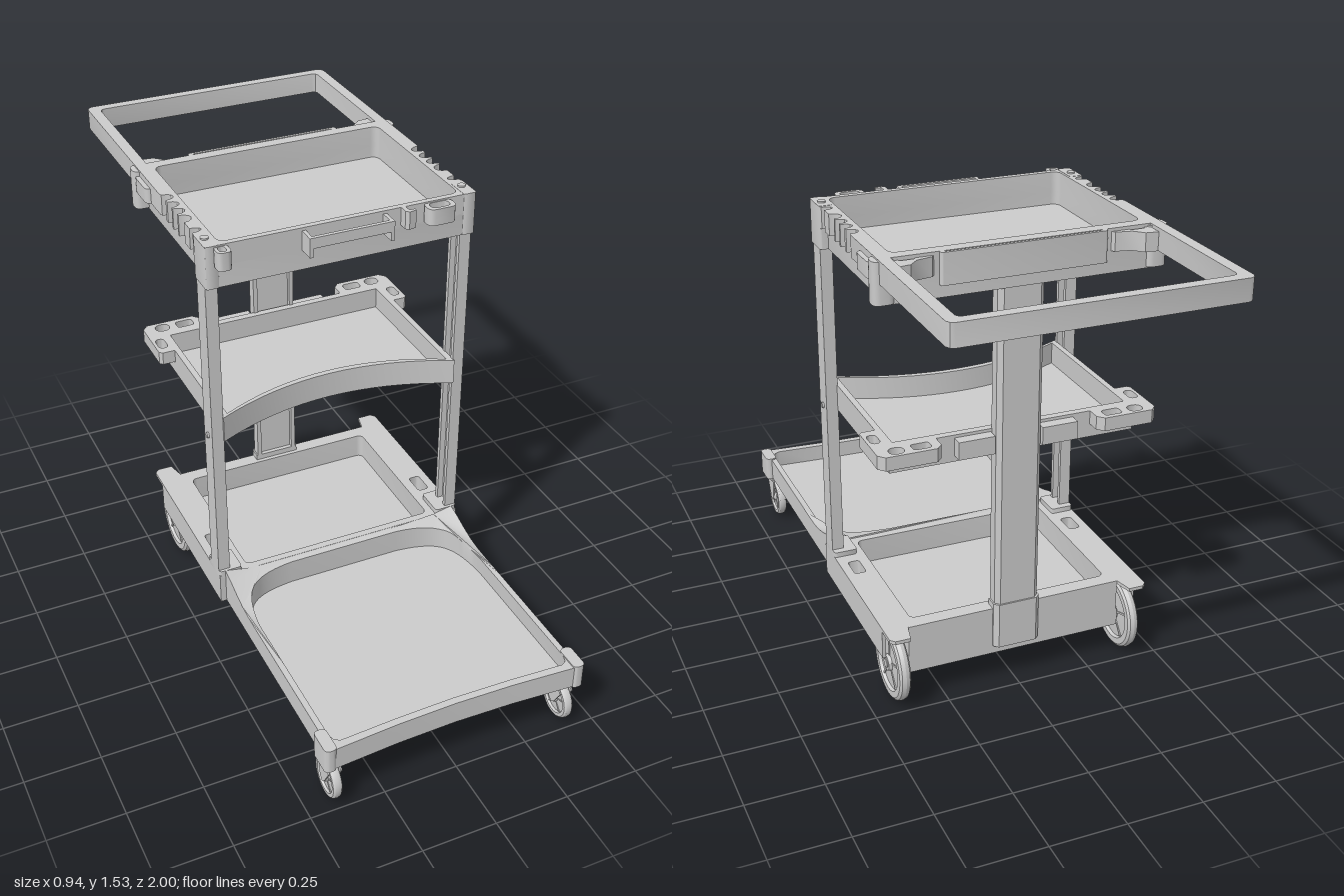
import * as THREE from 'three';
import { toCreasedNormals } from 'three/addons/utils/BufferGeometryUtils.js';

const mat = new THREE.MeshStandardMaterial({ color: 0xcccccc, side: THREE.DoubleSide });

function add(parent, name, geo, x = 0, y = 0, z = 0) {
  const m = new THREE.Mesh(geo, mat);
  m.name = name;
  m.position.set(x, y, z);
  parent.add(m);
  return m;
}

// Box given by its limits
function block(parent, name, x0, x1, y0, y1, z0, z1) {
  const g = new THREE.BoxGeometry(x1 - x0, y1 - y0, z1 - z0);
  return add(parent, name, g, (x0 + x1) / 2, (y0 + y1) / 2, (z0 + z1) / 2);
}

// Rounded rectangle in plan, as [x, z] points
function rect(x0, x1, z0, z1, r = 0.02, n = 4) {
  const pts = [];
  const corners = [[x1 - r, z1 - r], [x0 + r, z1 - r], [x0 + r, z0 + r], [x1 - r, z0 + r]];
  corners.forEach(([cx, cz], k) => {
    for (let i = 0; i <= n; i++) {
      const a = (k + i / n) * Math.PI / 2;
      pts.push([cx + r * Math.cos(a), cz + r * Math.sin(a)]);
    }
  });
  return pts;
}

// Plan outline with holes, raised from y0 to y1; lift(x, z) moves the top
function slab(parent, name, outer, holes, y0, y1, lift) {
  const vec = (pts) => pts.map(([x, z]) => new THREE.Vector2(x, -z));
  const s = new THREE.Shape(vec(outer));
  holes.forEach((h) => s.holes.push(new THREE.Path(vec(h))));
  const g = new THREE.ExtrudeGeometry(s, { depth: y1 - y0, bevelEnabled: false });
  g.rotateX(-Math.PI / 2).translate(0, y0, 0);
  if (lift) {
    const p = g.attributes.position;
    for (let i = 0; i < p.count; i++) {
      if (p.getY(i) > (y0 + y1) / 2) p.setY(i, p.getY(i) + lift(p.getX(i), p.getZ(i)));
    }
  }
  return add(parent, name, toCreasedNormals(g, 0.6));
}

// Completes a half outline (x >= 0) with its mirror image
const mirror = (half) => [...half, ...half.slice().reverse().map(([x, z]) => [-x, z])];
const flip = (pts, s) => pts.map(([x, z]) => [s * x, z]);

function wheel(parent, name, r, w, x, y, z) {
  const g = new THREE.Group();
  g.name = name;
  g.position.set(x, y, z);
  const profile = [[0.01, -0.5], [0.2, -0.5], [0.22, -0.25], [0.7, -0.2], [0.74, -0.42], [0.9, -0.42], [0.97, -0.28], [1, 0]];
  const pts = [...profile, ...profile.slice(0, -1).reverse().map(([a, b]) => [a, -b])]
    .map(([a, b]) => new THREE.Vector2(a * r, b * w));
  add(g, 'tyreAndDisc', toCreasedNormals(new THREE.LatheGeometry(pts, 40).rotateZ(Math.PI / 2), 0.5));
  add(g, 'axle', new THREE.CylinderGeometry(r * 0.12, r * 0.12, w * 1.15, 16).rotateZ(Math.PI / 2));
  for (let i = 0; i < 5; i++) {
    const spoke = add(g, 'spoke', new THREE.BoxGeometry(w * 0.6, r * 0.5, r * 0.05).translate(0, r * 0.45, 0));
    spoke.rotation.x = i * Math.PI * 0.4;
  }
  parent.add(g);
}

function buildBase(cart) {
  const g = new THREE.Group();
  g.name = 'base';
  cart.add(g);
  // Front platform: its rim sweeps up towards the posts
  const outer = [[0, 0.975], [0.2, 0.98], [0.43, 0.995]];
  for (let z = 0.9; z > 0.16; z -= 0.05) outer.push([0.43, z]);
  outer.push([0.43, 0.15], [0.36, 0.15], [0.3, 0.15]);
  const inner = [[0, 0.95], [0.2, 0.955], [0.385, 0.965], [0.403, 0.955], [0.41, 0.93], [0.41, 0.6], [0.41, 0.5]];
  const arch = new THREE.CubicBezierCurve(new THREE.Vector2(0.41, 0.4), new THREE.Vector2(0.395, 0.24),
    new THREE.Vector2(0.37, 0.19), new THREE.Vector2(0.2, 0.175));
  arch.getPoints(14).forEach((p) => inner.push([p.x, p.y]));
  const rise = (x, z) => {
    const t = 1 - THREE.MathUtils.smoothstep(z, 0.13, 0.42);
    return t * t * (0.03 + 0.02 * THREE.MathUtils.smoothstep(Math.abs(x), 0.34, 0.4));
  };
  slab(g, 'platformRim', mirror(outer), [mirror(inner)], 0.17, 0.25, rise);
  slab(g, 'platformFloor', rect(-0.425, 0.425, 0.15, 0.972, 0.01), [], 0.171, 0.19);

  // Rear bin, narrowed beside the wheels
  const bin = mirror([[0.45, 0.15], [0.45, -0.26], [0.37, -0.26], [0.37, -0.43]]);
  const slots = [1, -1].map((s) => rect(s * 0.4 - 0.02, s * 0.4 + 0.02, -0.08, 0, 0.01));
  slab(g, 'rearBinWalls', bin, [rect(-0.345, 0.345, -0.405, 0.125, 0.02), ...slots], 0.17, 0.28);
  slab(g, 'rearBinFloor', mirror([[0.44, 0.15], [0.44, -0.26], [0.365, -0.26], [0.365, -0.425]]), [], 0.171, 0.19);
  block(g, 'axleHousing', -0.375, 0.375, 0.11, 0.172, -0.455, -0.34);
  block(g, 'rearPanel', -0.37, 0.37, 0.11, 0.28, -0.455, -0.428);

  for (const s of [1, -1]) {
    slab(g, 'wheelCover', flip([[0.365, -0.255], [0.45, -0.255], [0.45, -0.5], [0.435, -0.515], [0.385, -0.515], [0.365, -0.43]], s), [], 0.268, 0.28);
    block(g, 'wheelSkirt', s * 0.444 - 0.006, s * 0.444 + 0.006, 0.17, 0.27, -0.43, -0.26);
    slab(g, 'cornerBumper', rect(s * 0.43 - 0.02, s * 0.43 + 0.02, 0.905, 1, 0.015), [], 0.168, 0.255);
    slab(g, 'postSocket', rect(s * 0.41 - 0.04, s * 0.41 + 0.04, 0.045, 0.15, 0.01), [], 0.27, 0.298);
    wheel(g, 'rearWheel', 0.128, 0.046, s * 0.405, 0.128, -0.4);
    wheel(g, 'frontWheel', 0.072, 0.036, s * 0.407, 0.076, 0.93);
    // Caster fork
    for (const k of [1, -1]) {
      const cheek = new THREE.Shape([[-0.95, 0.155], [-0.9, 0.155], [-0.915, 0.075], [-0.93, 0.062], [-0.945, 0.075], [-0.975, 0.13]]
        .map(([a, b]) => new THREE.Vector2(a, b)));
      const geo = new THREE.ExtrudeGeometry(cheek, { depth: 0.005, bevelEnabled: false }).rotateY(Math.PI / 2);
      add(g, 'casterCheek', geo, s * 0.407 + k * 0.021 - 0.0025);
    }
    add(g, 'casterCrown', new THREE.CylinderGeometry(0.026, 0.026, 0.02, 20), s * 0.407, 0.161, 0.93);
  }
}

function buildFrame(cart) {
  const g = new THREE.Group();
  g.name = 'frame';
  cart.add(g);
  for (const s of [1, -1]) {
    // Front post: channel open to the inside
    const post = [[0.41, 0.07], [0.45, 0.07], [0.45, 0.14], [0.41, 0.14], [0.41, 0.125], [0.43, 0.125], [0.43, 0.085], [0.41, 0.085]];
    slab(g, 'frontPost', flip(post, s), [], 0.28, 1.39);
    add(g, 'postBolt', new THREE.CylinderGeometry(0.01, 0.01, 0.008, 16).rotateZ(Math.PI / 2), s * 0.452, 0.83, 0.105);
  }
  const column = mirror([[0.06, -0.435], [0.06, -0.42], [0.075, -0.42], [0.075, -0.455], [0.06, -0.47]]);
  slab(g, 'backColumn', column, [], 0.28, 1.4);
  slab(g, 'columnFoot', mirror([[0.08, -0.42], [0.08, -0.46], [0.065, -0.475]]), [], 0.14, 0.3);
}

function buildShelf(cart) {
  const g = new THREE.Group();
  g.name = 'middleShelf';
  cart.add(g);
  // Front edge is bowed inwards
  const plan = (w, zf, zb) => {
    const half = [];
    for (let i = 0; i <= 8; i++) half.push([w * (i + 0.01) / 8.01, zf - 0.1 * (1 - (i / 8) ** 2)]);
    half.push([w, zb]);
    return mirror(half);
  };
  slab(g, 'shelfWalls', plan(0.412, 0.148, -0.425), [plan(0.392, 0.128, -0.4)], 0.82, 0.91);
  slab(g, 'shelfFloor', plan(0.405, 0.14, -0.42), [], 0.821, 0.835);
  for (const s of [1, -1]) {
    const c = s * 0.4;
    const holder = [[0.412, -0.3], [0.455, -0.3], [0.465, -0.31], [0.465, -0.47], [0.445, -0.492], [0.28, -0.492], [0.26, -0.47], [0.26, -0.425], [0.412, -0.425]];
    const holes = [rect(s * 0.438 - 0.016, s * 0.438 + 0.016, -0.39, -0.33, 0.015), rect(c - 0.025, c + 0.025, -0.48, -0.437, 0.02),
      rect(s * 0.32 - 0.03, s * 0.32 + 0.03, -0.475, -0.437, 0.01)];
    slab(g, 'toolHolder', flip(holder, s), holes, 0.865, 0.91);
    block(g, 'columnClip', s * 0.14 - 0.06, s * 0.14 + 0.06, 0.84, 0.9, -0.462, -0.42);
  }
}

function buildTop(cart) {
  const g = new THREE.Group();
  g.name = 'topTray';
  cart.add(g);
  const pocket = rect(-0.4, 0.4, -0.435, 0.135, 0.025);
  slab(g, 'trayBody', rect(-0.425, 0.425, -0.475, 0.155, 0.015), [pocket], 1.38, 1.455);
  slab(g, 'trayFloor', rect(-0.42, 0.42, -0.47, 0.15, 0.01), [], 1.381, 1.41);
  // Upper rim with notches along the sides
  const rim = [[0.445, 0.155], [0.45, 0.15], [0.45, 0.055]];
  for (const [z, d] of [[0.035, 0.015], [-0.05, 0.025], [-0.105, 0.02], [-0.155, 0.02], [-0.21, 0.02]]) {
    for (let i = 0; i <= 6; i++) {
      const a = i * Math.PI / 6;
      rim.push([0.447 - 0.032 * Math.sin(a), z + d * Math.cos(a)]);
    }
  }
  rim.push([0.45, -0.24], [0.45, -0.46], [0.43, -0.475]);
  slab(g, 'trayRim', mirror(rim), [pocket], 1.45, 1.52);
  slab(g, 'rearRail', rect(-0.265, 0.265, -0.49, -0.455, 0.008), [rect(-0.25, 0.25, -0.48, -0.468, 0.004)], 1.42, 1.52);

  // Front clip: face plate held off by two legs
  block(g, 'clipPlate', -0.14, 0.14, 1.475, 1.51, 0.2, 0.213);
  for (const s of [1, -1]) {
    block(g, 'clipLeg', s * 0.135 - 0.006, s * 0.135 + 0.006, 1.445, 1.51, 0.15, 0.213);
    slab(g, 'postCap', rect(s * 0.43 - 0.022, s * 0.43 + 0.022, 0.06, 0.158, 0.008), [], 1.38, 1.521);
    add(g, 'capPin', new THREE.CylinderGeometry(0.013, 0.013, 0.006, 18), s * 0.43, 1.523, 0.1);
    // Handle brackets at the back corners
    slab(g, 'pivotBracket', rect(s * 0.435 - 0.033, s * 0.435 + 0.033, -0.488, -0.43, 0.02), [], 1.385, 1.515);
    slab(g, 'sideBoss', rect(s * 0.44 - 0.026, s * 0.44 + 0.026, -0.44, -0.325, 0.02), [], 1.45, 1.5);
    slab(g, 'cornerHook', flip([[0.27, -0.46], [0.29, -0.485], [0.34, -0.495], [0.37, -0.525], [0.41, -0.53], [0.41, -0.46]], s),
      [rect(s * 0.365 - 0.025, s * 0.365 + 0.025, -0.482, -0.468, 0.005)], 1.45, 1.51);
  }
  // Tool hooks on the front
  slab(g, 'frontHook', [[0.19, 0.15], [0.19, 0.185], [0.2, 0.195], [0.225, 0.19], [0.225, 0.18], [0.205, 0.18], [0.205, 0.15]], [], 1.46, 1.52);
  slab(g, 'frontLoop', rect(0.265, 0.36, 0.15, 0.205, 0.02), [rect(0.28, 0.345, 0.158, 0.193, 0.015)], 1.46, 1.515);
  slab(g, 'sideHook', rect(-0.425, -0.38, 0.15, 0.2, 0.015), [rect(-0.415, -0.392, 0.157, 0.19, 0.01)], 1.455, 1.515);

  // U-shaped push handle
  const outer = [[0.43, -1], [0.443, -0.994], [0.45, -0.98], [0.45, -0.45], [0.412, -0.45], [0.412, -0.95], [0.407, -0.96], [0.395, -0.965]];
  slab(cart, 'pushHandle', mirror(outer), [], 1.45, 1.52);
}

export function createModel() {
  const cart = new THREE.Group();
  cart.name = 'utilityCart';
  buildBase(cart);
  buildFrame(cart);
  buildShelf(cart);
  buildTop(cart);
  return cart;
}
